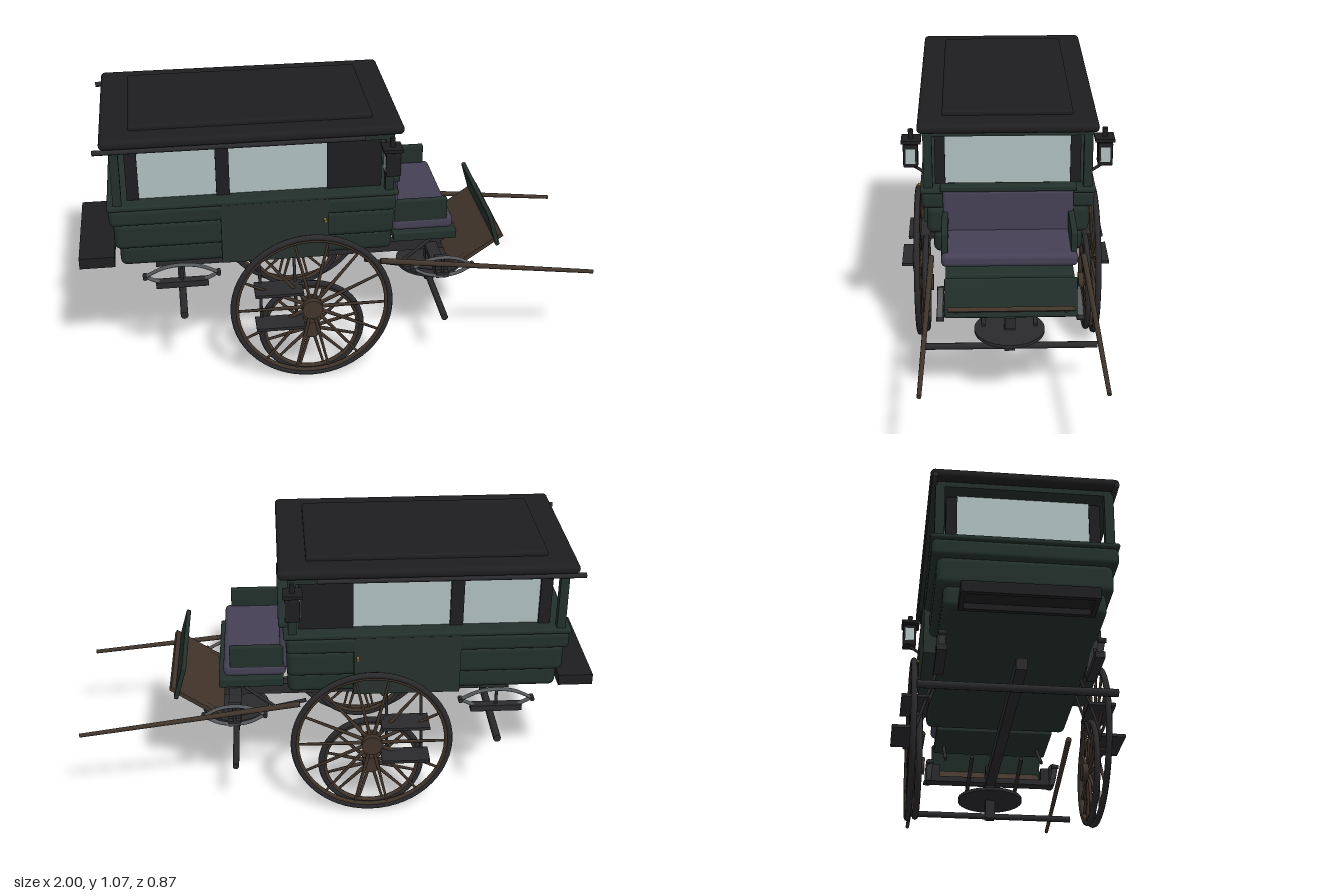
import * as THREE from 'three';
import { RoundedBoxGeometry } from 'three/addons/geometries/RoundedBoxGeometry.js';

const mat = (color) => new THREE.MeshStandardMaterial({ color });
const GREEN = mat(0x22302b), DOOR = mat(0x26312c), BLACK = mat(0x1e1e20), IRON = mat(0x2a2a2d);
const PURPLE = mat(0x454055), WOOD = mat(0x40342a), GLASS = mat(0xb0bfbf), STEEL = mat(0x55585a), BRASS = mat(0x8a7038);

export function createModel() {
  const root = new THREE.Group();
  const add = (name, geo, m, x = 0, y = 0, z = 0, parent = root) => {
    const mesh = new THREE.Mesh(geo, m);
    mesh.name = name;
    mesh.position.set(x, y, z);
    parent.add(mesh);
    return mesh;
  };
  // Box given by its extents on each axis; r rounds the edges
  const box = (name, m, [x0, x1], [y0, y1], [z0, z1], r = 0) => {
    const s = [x1 - x0, y1 - y0, z1 - z0];
    const geo = r ? new RoundedBoxGeometry(...s, 3, r) : new THREE.BoxGeometry(...s);
    return add(name, geo, m, (x0 + x1) / 2, (y0 + y1) / 2, (z0 + z1) / 2);
  };
  // Round bar through points
  const bar = (name, m, pts, r, flat = 1) => {
    const curve = new THREE.CatmullRomCurve3(pts.map((p) => new THREE.Vector3(...p)));
    const z = pts[0][2];
    const geo = new THREE.TubeGeometry(curve, pts.length > 2 ? 20 : 1, r, 8);
    if (flat !== 1) geo.translate(0, 0, -z).scale(1, 1, flat).translate(0, 0, z);
    return add(name, geo, m);
  };
  // Straight rod with closed ends
  const rod = (name, m, a, b, r0, r1 = r0) => {
    const A = new THREE.Vector3(...a), B = new THREE.Vector3(...b), d = B.clone().sub(A);
    const mesh = add(name, new THREE.CylinderGeometry(r1, r0, d.length(), 10), m);
    mesh.position.copy(A).add(B).multiplyScalar(0.5);
    mesh.quaternion.setFromUnitVectors(new THREE.Vector3(0, 1, 0), d.normalize());
    return mesh;
  };
  const sides = (fn) => [1, -1].forEach(fn);
  const span = (s, a, b) => (s > 0 ? [a, b] : [-b, -a]);

  // Roof
  box('roof', BLACK, [-0.885, 0.225], [1.015, 1.052], [-0.342, 0.342], 0.017);
  box('roofPanel', BLACK, [-0.78, 0.12], [1.04, 1.07], [-0.25, 0.25], 0.01);
  box('eave', GREEN, [-0.85, 0.19], [0.995, 1.02], [-0.325, 0.325]);

  // Lower body in stepped bands
  box('waistRail', GREEN, [-0.875, 0.21], [0.765, 0.785], [-0.336, 0.336], 0.008);
  box('upperBand', GREEN, [-0.87, 0.2], [0.7, 0.768], [-0.332, 0.332], 0.018);
  box('middleBand', GREEN, [-0.857, 0.198], [0.592, 0.705], [-0.313, 0.313], 0.025);
  box('lowerBand', GREEN, [-0.84, 0.195], [0.51, 0.602], [-0.288, 0.288], 0.025);

  // Windows: dark posts and panes on the sides and both ends
  sides((s) => {
    for (const [a, b] of [[-0.8, -0.755], [-0.47, -0.42], [-0.055, 0.15]])
      box('windowPost', BLACK, [a, b], [0.78, 0.985], span(s, 0.24, 0.28));
    for (const [a, b] of [[-0.755, -0.47], [-0.42, -0.055]])
      box('sideWindow', GLASS, [a, b], [0.78, 0.997], span(s, 0.255, 0.27));
    // Corner pillars, roof rails and doors
    for (const x of [-0.835, 0.175])
      box('cornerPillar', GREEN, [x - 0.016, x + 0.016], [0.78, 1.0], span(s, 0.288, 0.322));
    rod('roofRail', IRON, [-0.91, 1.005, 0.325 * s], [0.08, 1.005, 0.325 * s], 0.01);
    box('door', DOOR, [-0.46, -0.055], [0.525, 0.78], span(s, 0.27, 0.334));
    rod('doorHandle', BRASS, [-0.07, 0.685, 0.33 * s], [-0.07, 0.685, 0.355 * s], 0.006);
  });
  for (const x of [-0.785, 0.135])
    box('endWindow', GLASS, [x - 0.008, x + 0.008], [0.78, 0.997], [-0.24, 0.24]);

  // Lamps on the front pillars
  sides((s) => {
    box('lampBody', BLACK, [0.147, 0.203], [0.875, 0.965], span(s, 0.34, 0.396), 0.004);
    box('lampGlass', GLASS, [0.144, 0.206], [0.892, 0.95], span(s, 0.35, 0.386));
    box('lampCap', BLACK, [0.137, 0.21], [0.972, 0.985], span(s, 0.328, 0.402));
    box('lampNeck', BLACK, [0.155, 0.195], [0.96, 0.975], span(s, 0.35, 0.386));
    rod('lampChimney', BLACK, [0.175, 0.98, 0.366 * s], [0.175, 1.02, 0.366 * s], 0.01);
    rod('lampBracket', IRON, [0.175, 0.878, 0.368 * s], [0.175, 0.845, 0.318 * s], 0.006);
  });

  // Driver's seat
  box('seatBack', PURPLE, [0.185, 0.222], [0.6, 0.782], [-0.25, 0.25], 0.012);
  box('seatBackCap', GREEN, [0.185, 0.227], [0.78, 0.806], [-0.26, 0.26], 0.008);
  box('seatCushion', PURPLE, [0.2, 0.44], [0.567, 0.62], [-0.256, 0.256], 0.02);
  box('seatBase', GREEN, [0.21, 0.46], [0.512, 0.55], [-0.24, 0.24], 0.006);
  sides((s) => box('seatSide', GREEN, [0.21, 0.415], [0.585, 0.697], span(s, 0.23, 0.254), 0.005));

  // Footboard and sloping dashboard
  const foot = add('footboard', new THREE.BoxGeometry(0.24, 0.016, 0.46), WOOD, 0.55, 0.44, 0);
  foot.rotation.z = 0.61;
  const dash = add('dashboard', new RoundedBoxGeometry(0.018, 0.145, 0.482, 2, 0.006), GREEN, 0.61, 0.535, 0);
  dash.rotation.z = 0.28;
  sides((s) => {
    rod('seatBrace', IRON, [0.25, 0.4, 0.2 * s], [0.39, 0.515, 0.2 * s], 0.007);
    rod('footboardBrace', IRON, [0.45, 0.375, 0.2 * s], [0.64, 0.495, 0.2 * s], 0.008);
    rod('poleBrace', IRON, [0.12, 0.36, 0.1 * s], [0.4, 0.3, 0.1 * s], 0.008);
  });

  // Rear platform: a plate with a shallow rim below
  box('rearPlatform', BLACK, [-1, -0.865], [0.505, 0.525], [-0.237, 0.237]);
  sides((s) => box('platformRim', BLACK, [-1, -0.865], [0.482, 0.506], span(s, 0.22, 0.237)));
  for (const x of [-1, -0.882]) box('platformRim', BLACK, [x, x + 0.017], [0.482, 0.506], [-0.22, 0.22]);

  // Undercarriage
  box('perch', IRON, [-0.715, 0.51], [0.345, 0.39], [-0.02, 0.02]);
  rod('rearAxle', IRON, [-0.615, 0.32, -0.36], [-0.615, 0.32, 0.36], 0.015);
  rod('frontAxle', IRON, [0.405, 0.212, -0.34], [0.405, 0.212, 0.34], 0.013);
  box('kingPost', IRON, [0.388, 0.425], [0.2, 0.435], [-0.02, 0.02]);
  add('turntable', new THREE.CylinderGeometry(0.135, 0.135, 0.013, 32), IRON, 0.405, 0.285, 0);
  box('frontBolster', IRON, [0.38, 0.43], [0.354, 0.377], [-0.27, 0.27]);

  // Elliptic springs
  const spring = (name, cx, cy, z, half, h) => {
    for (const k of [1, -1])
      bar(name, STEEL, [[-1, 0], [-0.5, 0.78], [0, 1], [0.5, 0.78], [1, 0]]
        .map(([u, v]) => [cx + u * half, cy + k * v * h, z]), 0.005, 2.4);
    rod(name + 'Bolt', IRON, [cx, cy - h, z], [cx, cy + h, z], 0.006);
    for (const u of [-1, 1])
      rod(name + 'Eye', IRON, [cx + u * half, cy, z - 0.015], [cx + u * half, cy, z + 0.015], 0.009);
  };
  sides((s) => {
    spring('rearSpring', -0.615, 0.455, 0.28 * s, 0.14, 0.042);
    box('rearSpringSeat', IRON, [-0.715, -0.515], [0.408, 0.433], span(s, 0.262, 0.298));
    spring('frontSpring', 0.405, 0.4, 0.262 * s, 0.12, 0.04);
    box('frontSpringBlock', IRON, [0.38, 0.43], [0.375, 0.43], span(s, 0.215, 0.25));
  });

  // Wheels
  const wheel = (name, y, z, R, count, hubR, out) => {
    const g = new THREE.Group();
    g.name = name;
    g.position.set(-0.125, y, z);
    add('tyre', new THREE.TorusGeometry(R - 0.012, 0.012, 8, 56), IRON, 0, 0, 0, g);
    add('rim', new THREE.TorusGeometry(R - 0.024, 0.009, 8, 56), WOOD, 0, 0, 0, g);
    for (let i = 0; i < count; i++) {
      const a = ((i + 0.5) / count) * Math.PI * 2, mid = (R - 0.02) / 2;
      const spoke = add('spoke', new THREE.CylinderGeometry(0.005, 0.008, R - 0.02, 6), WOOD,
        -Math.sin(a) * mid, Math.cos(a) * mid, 0, g);
      spoke.rotation.z = a;
    }
    add('hub', new THREE.CylinderGeometry(hubR, hubR, 0.056, 20).rotateX(Math.PI / 2), WOOD, 0, 0, out, g);
    root.add(g);
  };
  sides((s) => {
    wheel('largeWheel', 0.32, 0.36 * s, 0.315, 14, 0.04, 0);
    wheel('smallWheel', 0.212, 0.332 * s, 0.207, 12, 0.034, 0);
  });

  // Door steps with hangers
  sides((s) => {
    box('upperStep', IRON, [-0.345, -0.16], [0.398, 0.41], span(s, 0.3, 0.405));
    box('lowerStep', IRON, [-0.345, -0.16], [0.27, 0.282], span(s, 0.345, 0.437));
    for (const x of [-0.32, -0.185])
      bar('stepHanger', IRON, [[x, 0.52, 0.275 * s], [x, 0.41, 0.31 * s], [x, 0.28, 0.35 * s]], 0.006);
  });

  // Shafts
  sides((s) => rod('shaft', WOOD, [0.15, 0.468, 0.302 * s], [1, 0.367, 0.325 * s], 0.012, 0.008));

  return root;
}
